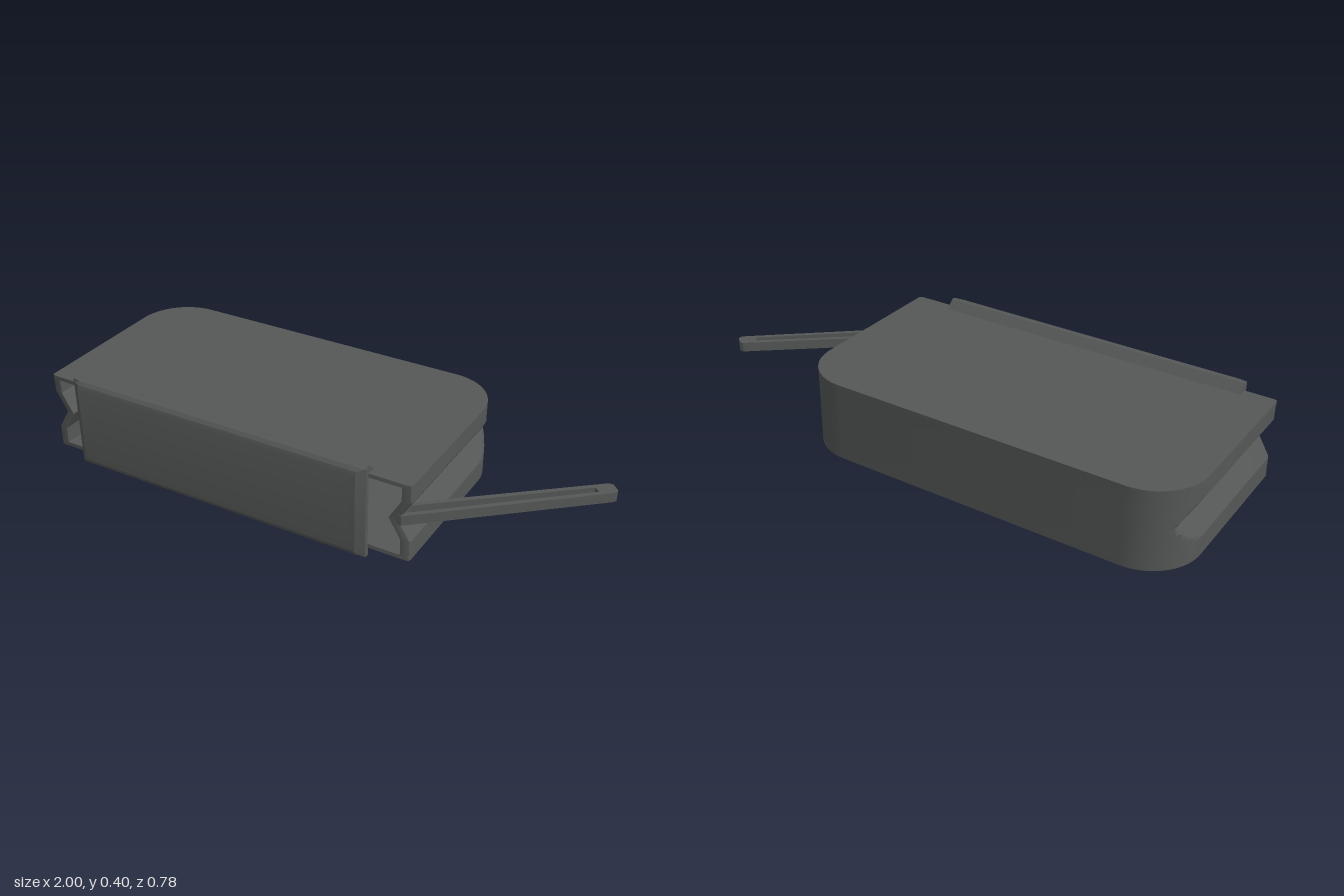
import * as THREE from 'three';
import { toCreasedNormals } from 'three/addons/utils/BufferGeometryUtils.js';

const CX = -0.2625, W = 0.7375, R = 0.19, T = 0.035, FRONT = 0.35;
const dark = new THREE.MeshStandardMaterial({ color: 0x555857, side: THREE.DoubleSide });
const grey = new THREE.MeshStandardMaterial({ color: 0xcccccc });

function add(group, name, geometry, material = dark) {
  const mesh = new THREE.Mesh(toCreasedNormals(geometry, 0.4), material);
  mesh.name = name;
  group.add(mesh);
  return mesh;
}

// Shape drawn in plan as (x, -z), extruded upwards from y0 to y1
function slab(shape, y0, y1) {
  const g = new THREE.ExtrudeGeometry(shape, { depth: y1 - y0, bevelEnabled: false, curveSegments: 12 });
  return g.rotateX(-Math.PI / 2).translate(0, y0, 0);
}

const plan = (pts) => pts.map(([x, z]) => new THREE.Vector2(x, -z));

// Plan outline of the U-shaped wall at height y; a V groove runs along both sides
function wallRing(y) {
  const d = 0.045 * Math.max(0, 1 - Math.abs(y - 0.222) / 0.076);
  const arc = (r, limit) => Array.from({ length: 15 }, (_, k) => {
    const a = (k / 14) * Math.PI / 2;
    return [Math.min(W - R + r * Math.cos(a), limit), -0.2 - r * Math.sin(a)];
  });
  const s = W - d;
  const outer = [[s - 0.015, FRONT], [s - 0.004, FRONT - 0.004], [s, FRONT - 0.015], ...arc(R, s)];
  const inner = [...arc(R - T, s - T).reverse(), [s - T, FRONT]];
  const mirror = (pts) => pts.map(([x, z]) => [-x, z]).reverse();
  return [...outer, ...mirror(outer), ...mirror(inner), ...inner].map(([x, z]) => [x + CX, y, z]);
}

// Skin between successive closed rings
function loft(rings) {
  const n = rings[0].length, index = [];
  for (let i = 0; i < rings.length - 1; i++) {
    for (let j = 0; j < n; j++) {
      const a = i * n + j, b = i * n + (j + 1) % n;
      index.push(a, b, b + n, a, b + n, a + n);
    }
  }
  const g = new THREE.BufferGeometry();
  g.setAttribute('position', new THREE.Float32BufferAttribute(rings.flat(2), 3));
  g.setIndex(index);
  return g;
}

export function createModel() {
  const group = new THREE.Group();
  group.name = 'foldingCase';

  // Side and back wall with V-folded sides
  const levels = [0.085];
  for (let i = 0; i <= 12; i++) levels.push(0.146 + 0.152 * i / 12);
  levels.push(0.35);
  add(group, 'wall', loft(levels.map(wallRing)));

  // Top and bottom panels
  const l = CX - W, r = CX + W, f = 0.015;
  const panel = new THREE.Shape();
  panel.moveTo(l + f, -FRONT);
  panel.lineTo(r - f, -FRONT);
  panel.quadraticCurveTo(r, -FRONT, r, -FRONT + f);
  panel.lineTo(r, 0.2);
  panel.absarc(r - R, 0.2, R, 0, Math.PI / 2);
  panel.lineTo(l + R, 0.2 + R);
  panel.absarc(l + R, 0.2, R, Math.PI / 2, Math.PI);
  panel.lineTo(l, -FRONT + f);
  panel.quadraticCurveTo(l, -FRONT, l + f, -FRONT);
  add(group, 'topPanel', slab(panel, 0.35, 0.365));
  add(group, 'bottomPanel', slab(panel, 0.07, 0.085));

  // Front cover: (z, y) profile swept along x, thinned at both ends
  const profile = new THREE.Shape([
    [0.35, 0.363], [0.35, 0.038], [0.368, 0.041], [0.38, 0.05], [0.387, 0.066], [0.387, 0.36],
    [0.382, 0.379], [0.372, 0.391], [0.355, 0.397], [0.346, 0.394], [0.312, 0.363],
  ].map(([z, y]) => new THREE.Vector2(z, y)));
  const cover = new THREE.ExtrudeGeometry(profile, { depth: 1.2, steps: 40, bevelEnabled: false });
  cover.rotateY(-Math.PI / 2).translate(0.32, 0, 0);
  const p = cover.attributes.position;
  for (let i = 0; i < p.count; i++) {
    if (Math.abs(p.getX(i) + 0.28) > 0.595) p.setZ(i, Math.min(p.getZ(i), 0.368));
  }
  add(group, 'frontCover', cover);

  // Tapered flap folded under the bottom
  const flap = new THREE.Shape();
  flap.moveTo(-0.88, -0.355);
  flap.lineTo(0.32, -0.355);
  flap.lineTo(0.32, -0.345);
  flap.lineTo(0.04, -0.125);
  flap.quadraticCurveTo(-0.05, -0.05, -0.15, -0.05);
  flap.lineTo(-0.41, -0.05);
  flap.quadraticCurveTo(-0.51, -0.05, -0.6, -0.125);
  flap.lineTo(-0.88, -0.345);
  add(group, 'bottomFlap', slab(flap, 0.04, 0.07));

  // Clasp button
  const button = new THREE.CylinderGeometry(0.055, 0.055, 0.042, 32);
  add(group, 'button', button, grey).position.set(-0.265, 0.021, 0.117);

  // Narrow wrist loop leaving the left side
  const strap = new THREE.Shape(plan([
    [0.42, 0.275], [0.42, 0.35], [0.44, 0.35], [0.988, -0.117], [0.998, -0.13],
    [0.996, -0.142], [0.972, -0.166], [0.955, -0.165],
  ]));
  strap.holes.push(new THREE.Path(plan([[0.44, 0.281], [0.925, -0.118], [0.945, -0.102], [0.44, 0.328]])));
  add(group, 'wristStrap', slab(strap, 0.203, 0.24));

  return group;
}
